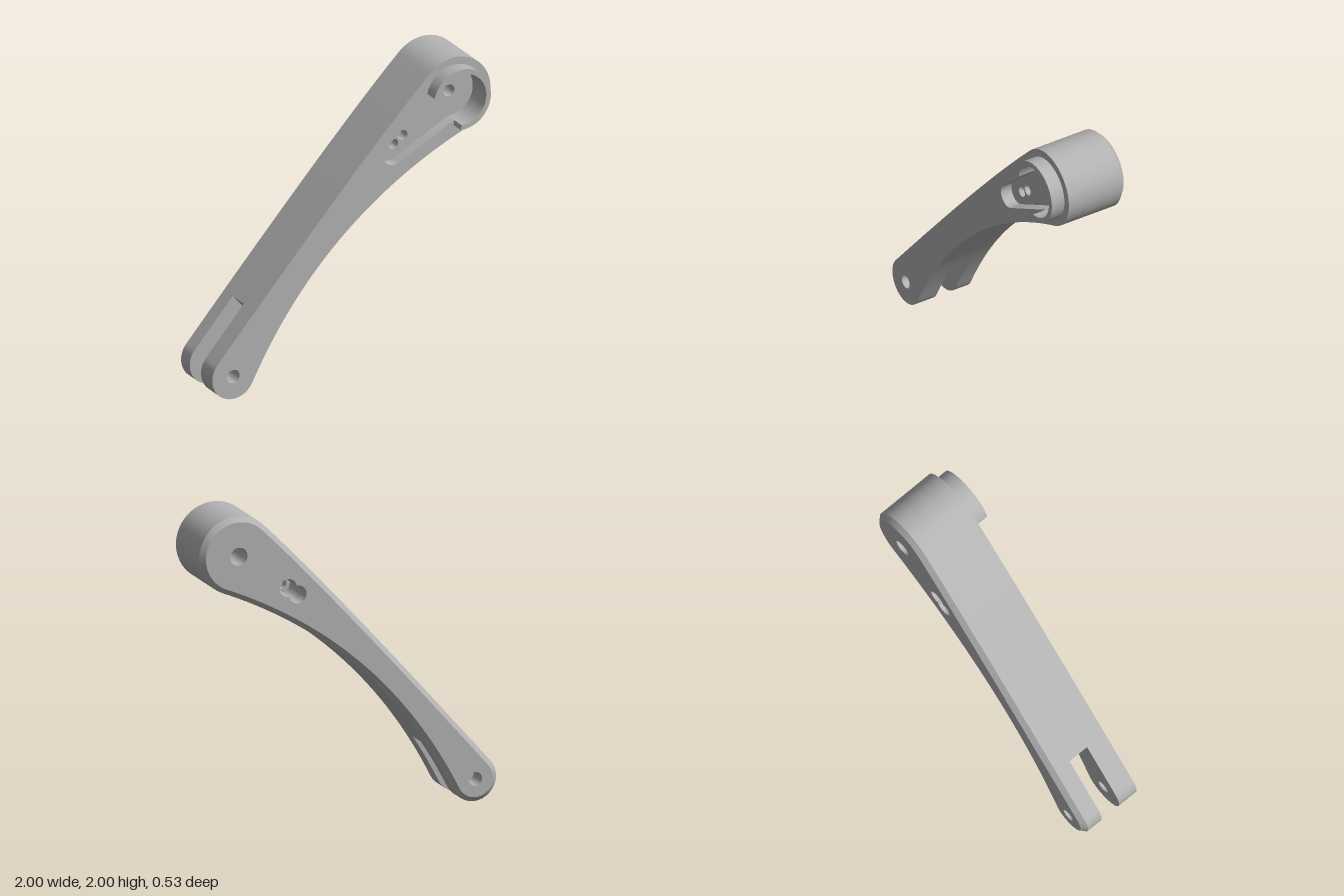
import * as THREE from 'three';
import { toCreasedNormals } from 'three/addons/utils/BufferGeometryUtils.js';

const V = (x, y) => new THREE.Vector2(x, y);
const rad = THREE.MathUtils.degToRad;
const HUB = V(0.745, 1.745), HUB_R = 0.255;
const TIP = V(-0.848, 0.152), TIP_R = 0.152;
const BOLT_A = V(0.347, 1.462), BOLT_B = V(0.413, 1.51);

const onCircle = (c, r, deg) => V(c.x + r * Math.cos(rad(deg)), c.y + r * Math.sin(rad(deg)));

// Points along an arc, counter-clockwise from a to b degrees
function arc(c, r, a, b, n = 40) {
  return Array.from({ length: n + 1 }, (_, i) => onCircle(c, r, a + (b - a) * i / n));
}

// Curve that leaves circle 0 and meets circle 1 along their tangents
function tangentCurve(c0, r0, a0, c1, r1, a1, n = 40) {
  const p0 = onCircle(c0, r0, a0), p1 = onCircle(c1, r1, a1);
  const d0 = onCircle(V(0, 0), 1, a0 + 90), d1 = onCircle(V(0, 0), 1, a1 + 90);
  const s = p1.clone().sub(p0).cross(d1) / d0.cross(d1);
  const ctrl = p0.clone().addScaledVector(d0, s);
  return new THREE.QuadraticBezierCurve(p0, ctrl, p1).getPoints(n).slice(1, -1);
}

// Side outline of the arm, counter-clockwise
function armOutline() {
  return [
    ...arc(HUB, HUB_R, -68, 134.2),
    ...tangentCurve(HUB, HUB_R, 134.2, TIP, TIP_R, 139),
    ...arc(TIP, TIP_R, 139, 333.2),
    ...tangentCurve(TIP, TIP_R, 333.2, HUB, HUB_R, 292),
  ];
}

function inset(points, d) {
  const n = points.length;
  return points.map((p, i) => {
    const t = points[(i + 1) % n].clone().sub(points[(i + n - 1) % n]).normalize();
    return V(p.x - t.y * d, p.y + t.x * d);
  });
}

// Keep the part of an outline on the positive side of a line
function clip(points, origin, dir) {
  const out = [];
  points.forEach((p, i) => {
    const q = points[(i + 1) % points.length];
    const a = p.clone().sub(origin).dot(dir), b = q.clone().sub(origin).dot(dir);
    if (a >= 0) out.push(p);
    if (a * b < 0) out.push(p.clone().lerp(q, a / (a - b)));
  });
  return out;
}

const hole = (c, r) => arc(c, r, 0, 360, 32).slice(0, -1);

// Two overlapping bores joined into one opening
function doubleBore(r) {
  const d = BOLT_B.clone().sub(BOLT_A);
  const dir = THREE.MathUtils.radToDeg(d.angle());
  const half = THREE.MathUtils.radToDeg(Math.acos(d.length() / 2 / r));
  return [
    ...arc(BOLT_B, r, dir - 180 + half, dir + 180 - half, 28),
    ...arc(BOLT_A, r, dir + half, dir + 360 - half, 28).slice(1, -1),
  ];
}

// Keyhole-shaped recess on the front
function pocketOutline() {
  return [...arc(HUB, 0.172, -92, 172), ...arc(V(0.305, 1.432), 0.075, 132, 299, 24)];
}

function slab(outline, holes, z0, z1) {
  const shape = new THREE.Shape(outline);
  shape.holes = holes.map((h) => new THREE.Path(h));
  const geo = new THREE.ExtrudeGeometry(shape, { depth: z1 - z0, bevelEnabled: false });
  geo.translate(0, 0, z0);
  return toCreasedNormals(geo, 0.5);
}

// Sloped band between two matching outlines
function band(front, back, zFront, zBack) {
  const pos = [], idx = [], n = front.length;
  for (let i = 0; i < n; i++) {
    pos.push(front[i].x, front[i].y, zFront, back[i].x, back[i].y, zBack);
    const a = 2 * i, b = 2 * ((i + 1) % n);
    idx.push(a, a + 1, b, b, a + 1, b + 1);
  }
  const geo = new THREE.BufferGeometry();
  geo.setAttribute('position', new THREE.Float32BufferAttribute(pos, 3));
  geo.setIndex(idx);
  geo.computeVertexNormals();
  return geo;
}

export function createModel() {
  const group = new THREE.Group();
  const grey = new THREE.MeshStandardMaterial({ color: 0xb3b3b3, side: THREE.DoubleSide });
  grey.name = 'plain grey';
  const add = (name, geo) => {
    const mesh = new THREE.Mesh(geo, grey);
    mesh.name = name;
    group.add(mesh);
  };

  const outline = armOutline();
  const innerOutline = inset(outline, 0.033);
  const pinHole = hole(TIP, 0.045);
  const wideBores = [hole(HUB, 0.058), doubleBore(0.058)];
  const smallHoles = [hole(HUB, 0.04), hole(BOLT_A, 0.034), hole(BOLT_B, 0.034)];

  // Back cheek with its chamfered rim
  add('backFace', slab(innerOutline, [pinHole, ...wideBores], -0.265, -0.232));
  add('backChamfer', band(outline, innerOutline, -0.232, -0.265));
  add('backCheek', slab(outline, [pinHole, ...wideBores], -0.232, -0.12));

  // Core stops short of the tip, leaving the fork slot
  const core = clip(outline, V(-0.62, 0.48), V(0.75, 0.66));
  add('core', slab(core, wideBores, -0.12, 0.025));

  // Front cheek: pocket floor, then the pocket walls
  add('pocketFloor', slab(outline, [pinHole, ...smallHoles], 0.025, 0.09));
  add('frontCheek', slab(outline, [pinHole, pocketOutline()], 0.09, 0.17));

  // Raised open collar around the hub
  const collar = [...arc(HUB, 0.205, -93, 167, 60), ...arc(HUB, 0.172, 172, -92, 60)];
  add('hubCollar', slab(collar, [], 0.17, 0.265));

  return group;
}
